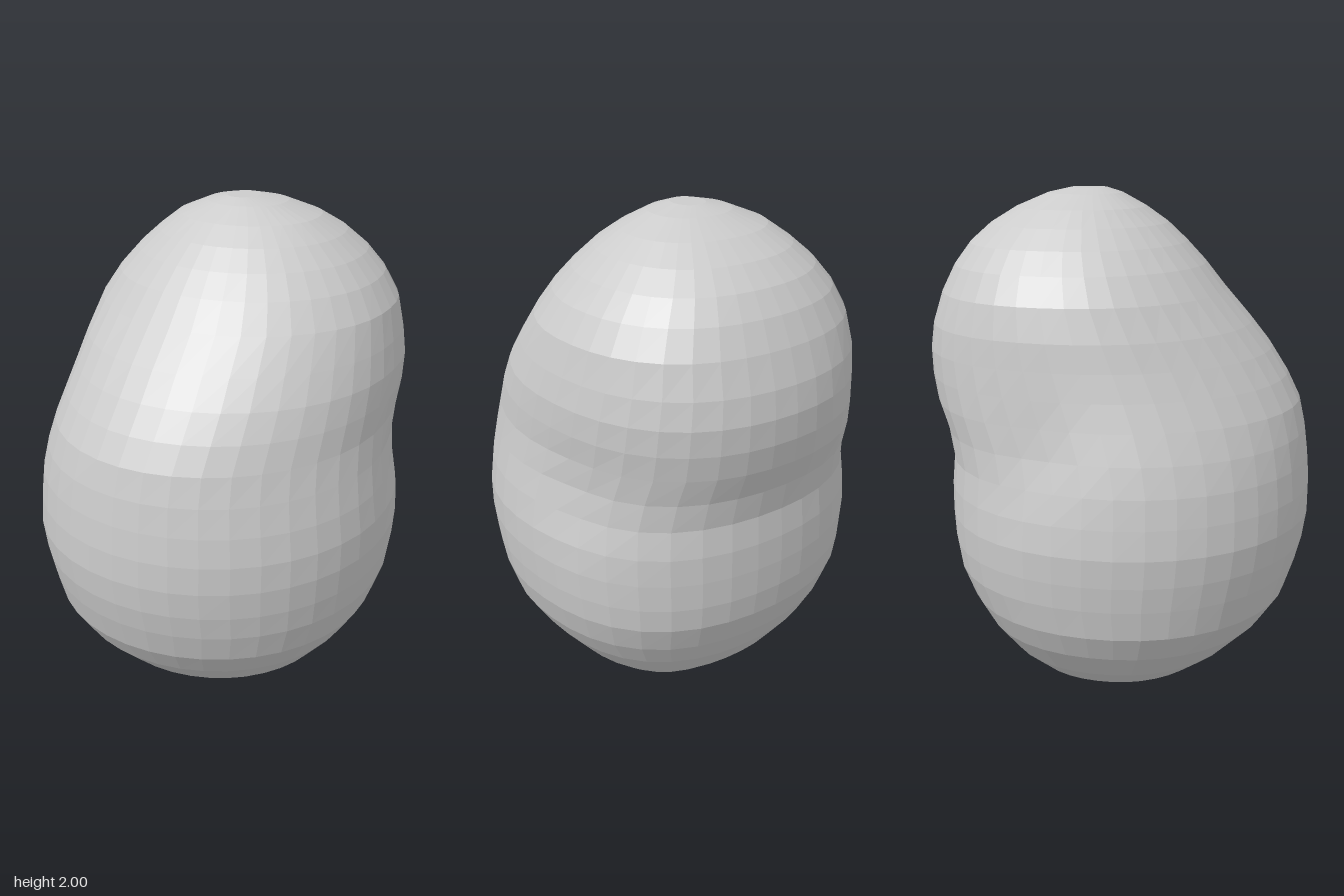
import * as THREE from 'three';

// Cross-sections from bottom to top: height, right, left, back and front extents
const SECTIONS = [
  [0, -0.08, 0.06, -0.08, 0.1],
  [0.04, -0.26, 0.2, -0.25, 0.25],
  [0.12, -0.41, 0.38, -0.37, 0.37],
  [0.2, -0.5, 0.47, -0.46, 0.48],
  [0.32, -0.6, 0.57, -0.55, 0.6],
  [0.43, -0.66, 0.64, -0.61, 0.675],
  [0.55, -0.685, 0.68, -0.66, 0.715],
  [0.65, -0.7, 0.695, -0.675, 0.74],
  [0.76, -0.71, 0.705, -0.68, 0.755],
  [0.87, -0.7, 0.705, -0.68, 0.755],
  [0.98, -0.685, 0.69, -0.67, 0.745],
  [1.09, -0.66, 0.67, -0.69, 0.73],
  [1.2, -0.63, 0.655, -0.73, 0.705],
  [1.3, -0.605, 0.655, -0.75, 0.655],
  [1.4, -0.585, 0.65, -0.755, 0.59],
  [1.5, -0.57, 0.63, -0.74, 0.51],
  [1.62, -0.54, 0.6, -0.7, 0.405],
  [1.72, -0.48, 0.54, -0.65, 0.325],
  [1.8, -0.41, 0.47, -0.59, 0.25],
  [1.87, -0.33, 0.39, -0.51, 0.175],
  [1.93, -0.25, 0.3, -0.41, 0.09],
  [1.98, -0.13, 0.18, -0.29, 0],
  [2, -0.04, 0.08, -0.2, -0.06],
];
const SIDES = 40;

// Shallow creases where the two lobes meet, on both sides towards the back
const HOLLOWS = [new THREE.Vector3(0.62, 1.05, -0.25), new THREE.Vector3(-0.62, 1.1, -0.25)];

function hollowDepth(point) {
  return HOLLOWS.reduce((sum, h) => sum + 0.02 * Math.exp(-point.distanceToSquared(h) / 0.03), 0);
}

// The rear quarters are fuller than a plain oval, most of all on the left
function fullness(angle) {
  if (Math.sin(angle) >= 0) return 1;
  const amount = Math.cos(angle) > 0 ? 0.055 : 0.035;
  return 1 + amount * Math.sin(2 * angle) ** 2;
}

function bodyGeometry() {
  const positions = [];
  const index = [];
  const p = new THREE.Vector3();

  // Rings of oval outline, pressed in at the hollows
  for (const [y, x0, x1, z0, z1] of SECTIONS) {
    const cx = (x0 + x1) / 2;
    const cz = (z0 + z1) / 2;
    for (let j = 0; j < SIDES; j++) {
      const a = (j / SIDES) * Math.PI * 2;
      const c = Math.cos(a) * fullness(a);
      const s = Math.sin(a) * fullness(a);
      p.set(cx + c * (x1 - x0) / 2, y, cz + s * (z1 - z0) / 2);
      const d = hollowDepth(p);
      positions.push(p.x - c * d, y, p.z - s * d);
    }
  }
  for (let i = 0; i < SECTIONS.length - 1; i++) {
    for (let j = 0; j < SIDES; j++) {
      const k = (j + 1) % SIDES;
      const a = i * SIDES + j, b = i * SIDES + k;
      index.push(a, a + SIDES, b, b, a + SIDES, b + SIDES);
    }
  }

  // Centre points closing the bottom and the top
  const addCap = (row, up) => {
    const [y, x0, x1, z0, z1] = SECTIONS[row];
    const centre = positions.length / 3;
    positions.push((x0 + x1) / 2, y, (z0 + z1) / 2);
    for (let j = 0; j < SIDES; j++) {
      const a = row * SIDES + j, b = row * SIDES + (j + 1) % SIDES;
      if (up) index.push(centre, b, a);
      else index.push(centre, a, b);
    }
  };
  addCap(0, false);
  addCap(SECTIONS.length - 1, true);

  const geometry = new THREE.BufferGeometry();
  geometry.setAttribute('position', new THREE.Float32BufferAttribute(positions, 3));
  geometry.setIndex(index);
  geometry.computeVertexNormals();
  return geometry;
}

export function createModel() {
  const group = new THREE.Group();
  group.name = 'lumpyStone';
  const material = new THREE.MeshStandardMaterial({ color: 0xcccccc, flatShading: true });
  const body = new THREE.Mesh(bodyGeometry(), material);
  body.name = 'body';
  group.add(body);
  return group;
}
